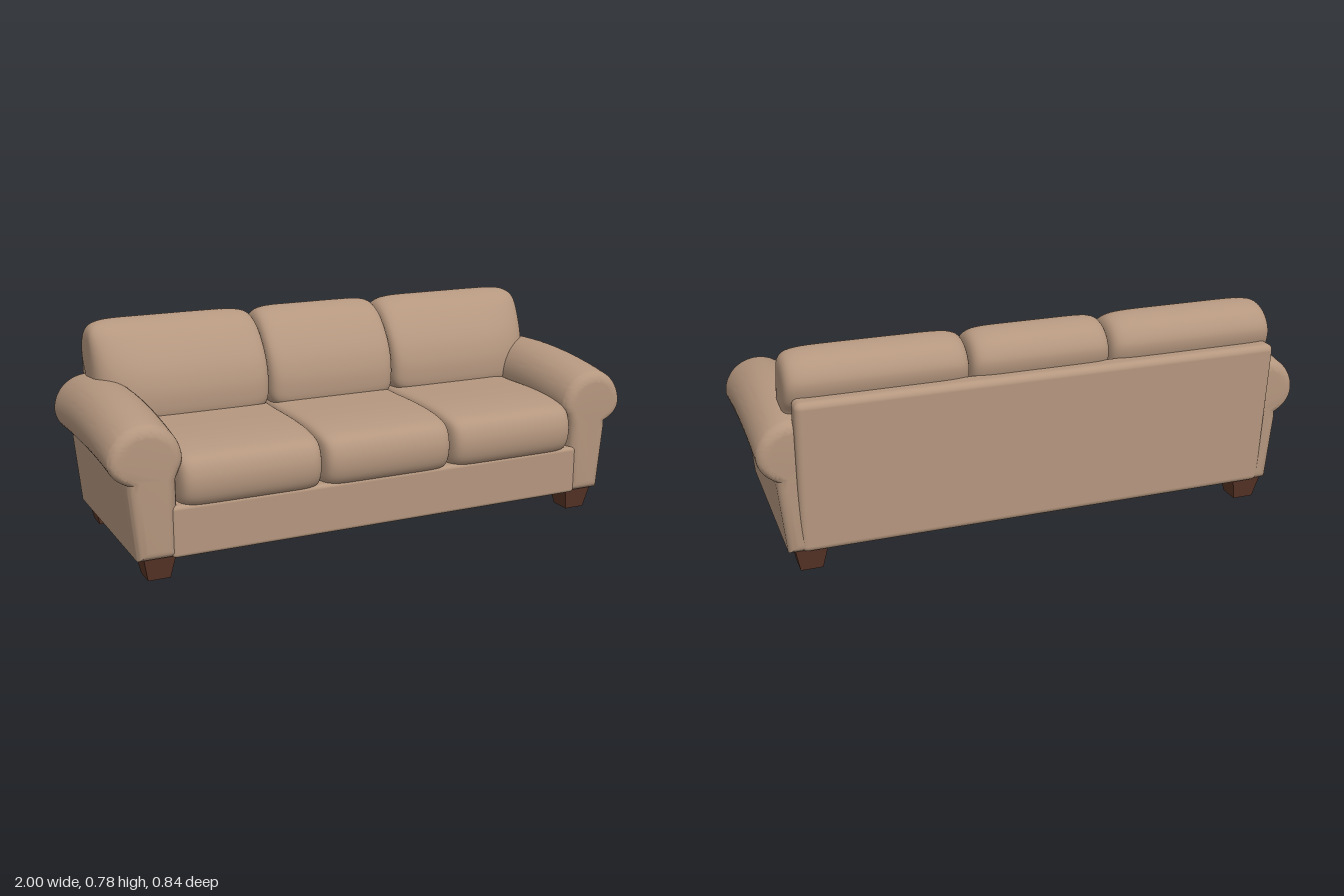
import * as THREE from 'three';
import { toCreasedNormals } from 'three/addons/utils/BufferGeometryUtils.js';
import { RoundedBoxGeometry } from 'three/addons/geometries/RoundedBoxGeometry.js';

const fabric = new THREE.MeshStandardMaterial({ color: 0xb5977f });
fabric.name = 'tanFabric';
const wood = new THREE.MeshStandardMaterial({ color: 0x5a3527 });
wood.name = 'darkWood';

function part(group, name, geometry, material = fabric) {
  const mesh = new THREE.Mesh(geometry, material);
  mesh.name = name;
  group.add(mesh);
  return mesh;
}

// Padded cushion: a closed side profile of [z, y] points swept along x, with
// both ends rounded as superellipses. frontL and frontR soften the front corners.
function cushion(profile, [cz, cy], x0, x1, frontL, frontR, n = 8) {
  const ring = new THREE.CatmullRomCurve3(
    profile.map(([z, y]) => new THREE.Vector3(0, y, z)), true, 'centripetal').getPoints(64).slice(0, 64);
  const rows = 48, cols = ring.length, position = [], index = [];
  const scale = (u, p) => Math.pow(Math.max(0, 1 - Math.pow(Math.abs(u), p)), 1 / p);
  for (let i = 0; i <= rows; i++) {
    const u = Math.sin((i / rows - 0.5) * Math.PI);
    const x = (x0 + x1) / 2 + u * (x1 - x0) / 2;
    for (const p of ring) {
      const zPower = p.z > cz ? (u < 0 ? frontL : frontR) : n;
      position.push(x, cy + (p.y - cy) * scale(u, n), cz + (p.z - cz) * scale(u, zPower));
    }
  }
  for (let i = 0; i < rows; i++) {
    for (let j = 0; j < cols; j++) {
      const k = (j + 1) % cols;
      const a = i * cols + j, b = a + cols, c = (i + 1) * cols + k, d = i * cols + k;
      index.push(a, b, d, b, c, d);
    }
  }
  const geometry = new THREE.BufferGeometry();
  geometry.setAttribute('position', new THREE.Float32BufferAttribute(position, 3));
  geometry.setIndex(index);
  geometry.computeVertexNormals();
  return geometry;
}

// Rolled arm: upright panel with a round scroll, extruded front to back
function armGeometry(side) {
  const path = new THREE.Path();
  path.moveTo(0.775, 0.08);
  path.lineTo(0.915, 0.08);
  path.lineTo(0.938, 0.325);
  path.absarc(0.875, 0.46, 0.125, -Math.PI / 3, Math.PI * 1.12, false);
  path.lineTo(0.775, 0.36);
  const shape = new THREE.Shape(path.getPoints(28).map(p => new THREE.Vector2(p.x * side, p.y)));
  const bevel = 0.035;
  const geometry = new THREE.ExtrudeGeometry(shape, {
    depth: 0.765 - 2 * bevel, steps: 14, bevelEnabled: true,
    bevelSize: bevel, bevelOffset: -bevel, bevelThickness: bevel, bevelSegments: 6,
  });
  geometry.translate(0, 0, -0.378 + bevel);
  // The scroll dips gently towards its front and back
  const p = geometry.attributes.position;
  for (let i = 0; i < p.count; i++) {
    const weight = THREE.MathUtils.smoothstep(p.getY(i), 0.3, 0.5);
    p.setY(i, p.getY(i) - 0.25 * weight * (p.getZ(i) + 0.05) ** 2);
  }
  return toCreasedNormals(geometry, 0.6);
}

export function createModel() {
  const sofa = new THREE.Group();
  sofa.name = 'sofa';

  // Base with front rail
  const base = new RoundedBoxGeometry(1.6, 0.18, 0.75, 4, 0.014);
  base.translate(0, 0.17, 0.012);
  part(sofa, 'base', base);

  // Back frame, leaning backwards
  const back = new RoundedBoxGeometry(1.75, 0.56, 0.082, 5, 0.025);
  back.translate(0, 0.36, 0);
  const p = back.attributes.position;
  for (let i = 0; i < p.count; i++) p.setZ(i, p.getZ(i) - 0.338 - 0.08 * (p.getY(i) - 0.08));
  part(sofa, 'backFrame', back);

  // Arms
  part(sofa, 'leftArm', armGeometry(1));
  part(sofa, 'rightArm', armGeometry(-1));

  // Seat cushions
  const seat = [[0.415, 0.34], [0.39, 0.41], [0.3, 0.44], [0, 0.45], [-0.25, 0.43], [-0.27, 0.34],
    [-0.25, 0.25], [0, 0.235], [0.33, 0.235], [0.395, 0.265]];
  const seatCentre = [0.07, 0.34];
  part(sofa, 'rightSeatCushion', cushion(seat, seatCentre, -0.77, -0.252, 12, 12, 9));
  part(sofa, 'middleSeatCushion', cushion(seat, seatCentre, -0.252, 0.252, 12, 12, 9));
  part(sofa, 'leftSeatCushion', cushion(seat, seatCentre, 0.252, 0.77, 12, 12, 9));

  // Back cushions; the outer two spread over the arms
  const rest = [[-0.045, 0.5], [-0.065, 0.6], [-0.12, 0.69], [-0.185, 0.752], [-0.26, 0.777], [-0.34, 0.75],
    [-0.378, 0.69], [-0.365, 0.62], [-0.32, 0.56], [-0.3, 0.45], [-0.17, 0.42], [-0.06, 0.43]];
  const restCentre = [-0.22, 0.6];
  part(sofa, 'rightBackCushion', cushion(rest, restCentre, -0.895, -0.257, 3, 9));
  part(sofa, 'middleBackCushion', cushion(rest, restCentre, -0.257, 0.257, 8, 8));
  part(sofa, 'leftBackCushion', cushion(rest, restCentre, 0.257, 0.895, 9, 3));

  // Tapered square legs
  const leg = new THREE.CylinderGeometry(0.056 * Math.SQRT2, 0.039 * Math.SQRT2, 0.084, 4).toNonIndexed();
  leg.rotateY(Math.PI / 4);
  leg.computeVertexNormals();
  for (const x of [-1, 1]) {
    for (const z of [-1, 1]) {
      const name = (z > 0 ? 'front' : 'back') + (x > 0 ? 'Left' : 'Right') + 'Leg';
      part(sofa, name, leg, wood).position.set(x * 0.837, 0.042, z * 0.303);
    }
  }
  return sofa;
}
